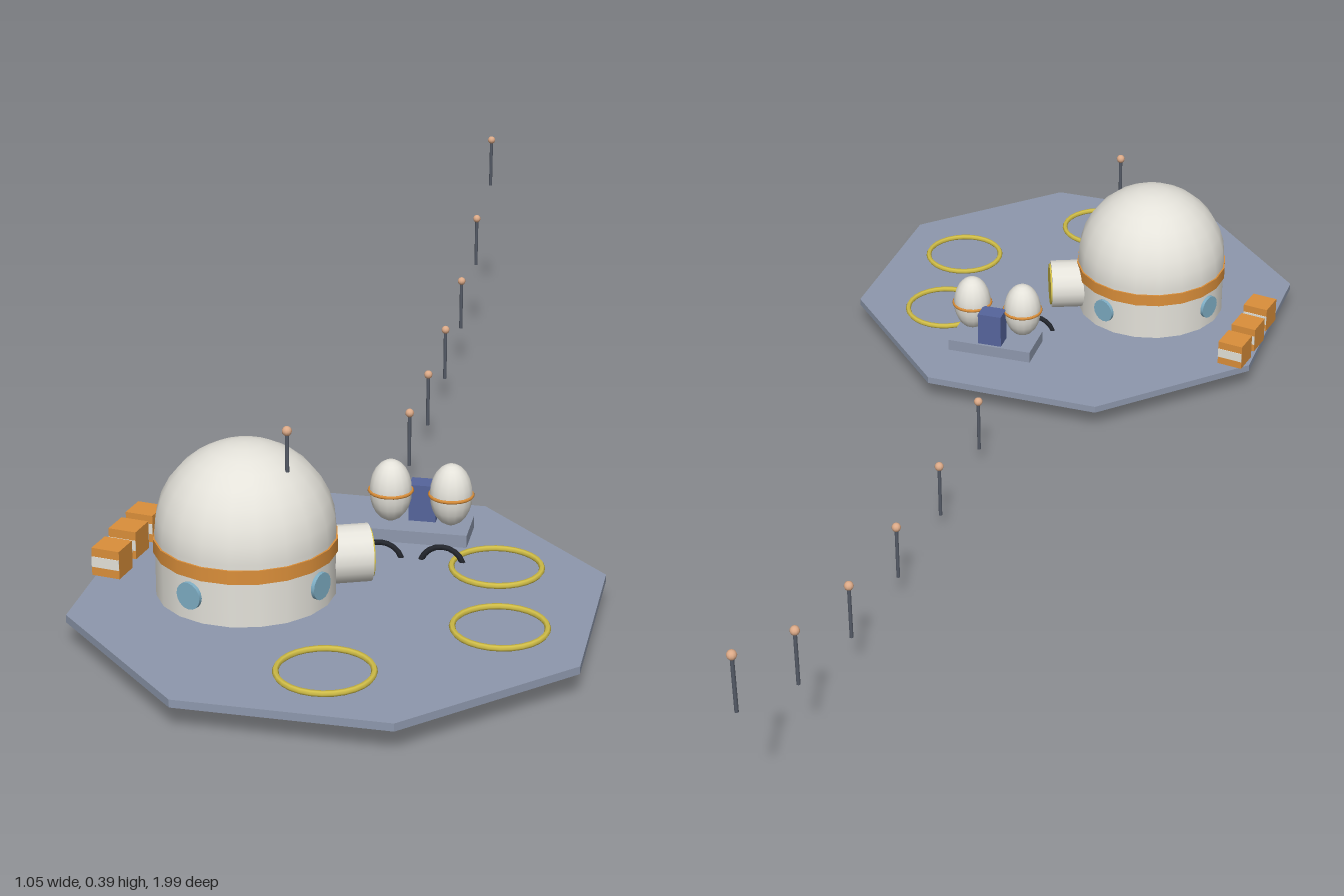
import * as THREE from 'three';

const paint = (name, color) => {
  const m = new THREE.MeshStandardMaterial({ color });
  m.name = name;
  return m;
};

export function createModel() {
  const mat = {
    ground: paint('slate blue', 0x8e98ad),
    white: paint('off white', 0xe4e2da),
    orange: paint('orange', 0xdb8f3a),
    yellow: paint('yellow', 0xd2bf48),
    glass: paint('window blue', 0x7fafc6),
    seat: paint('navy', 0x56659c),
    pole: paint('pole grey', 0x565c68),
    tyre: paint('tyre black', 0x23262d),
    lamp: paint('lamp peach', 0xdcaa88),
  };
  const model = new THREE.Group();
  model.name = 'outpost';

  const add = (parent, name, geometry, material, x = 0, y = 0, z = 0) => {
    const mesh = new THREE.Mesh(geometry, material);
    mesh.name = name;
    mesh.position.set(x, y, z);
    parent.add(mesh);
    return mesh;
  };
  const group = (name, x, y, z, turn = 0) => {
    const g = new THREE.Group();
    g.name = name;
    g.position.set(x, y, z);
    g.rotation.y = turn;
    model.add(g);
    return g;
  };

  // Octagonal landing platform
  const slab = new THREE.CylinderGeometry(0.437, 0.437, 0.013, 8).toNonIndexed();
  slab.computeVertexNormals();
  add(model, 'platform', slab, mat.ground, -0.09, 0.0465, 0.56);

  // Domed habitat
  const hab = group('habitat', -0.235, 0, 0.51);
  add(hab, 'habitatWall', new THREE.CylinderGeometry(0.145, 0.145, 0.105, 20), mat.white, 0, 0.1055, 0);
  add(hab, 'dome', new THREE.SphereGeometry(0.146, 20, 8, 0, Math.PI * 2, 0, Math.PI / 2), mat.white, 0, 0.158, 0);
  add(hab, 'habitatBand', new THREE.CylinderGeometry(0.148, 0.148, 0.023, 20), mat.orange, 0, 0.138, 0);

  // Round windows on the four diagonals
  for (let i = 0; i < 4; i++) {
    const a = Math.PI / 4 + i * Math.PI / 2;
    const w = add(hab, 'window', new THREE.CylinderGeometry(0.0225, 0.0225, 0.009, 16), mat.glass,
      Math.sin(a) * 0.145, 0.096, Math.cos(a) * 0.145);
    w.rotation.set(Math.PI / 2, 0, -a);
  }

  // Airlock with its round hatch
  const lock = add(hab, 'airlock', new THREE.CylinderGeometry(0.047, 0.047, 0.08, 16), mat.white, 0.16, 0.101, 0);
  lock.rotation.z = Math.PI / 2;
  const hatch = add(hab, 'hatch', new THREE.CylinderGeometry(0.041, 0.041, 0.004, 16), mat.yellow, 0.201, 0.101, 0);
  hatch.rotation.z = Math.PI / 2;

  // Slim mast with a lamp on top
  const mast = (name, x, bottom, top, z) => {
    const g = group(name, x, 0, z);
    add(g, 'pole', new THREE.CylinderGeometry(0.0035, 0.0035, top - bottom, 6), mat.pole, 0, (top + bottom) / 2, 0);
    add(g, 'lamp', new THREE.SphereGeometry(0.008, 10, 8), mat.lamp, 0, top, 0);
  };
  mast('antenna', -0.177, 0.275, 0.343, 0.572);

  // Trail of beacons climbing away behind the platform
  [0.143, 0.14, 0.157, 0.19, 0.261, 0.378].forEach((top, i) =>
    mast('beacon', 0.132 + i * 0.077, top - 0.102, top, 0.015 - i * 0.201));

  // Supply crates
  for (const [x, z] of [[-0.373, 0.272], [-0.407, 0.335], [-0.441, 0.409]]) {
    const crate = group('crate', x, 0.077, z, -0.54);
    add(crate, 'crateBox', new THREE.BoxGeometry(0.049, 0.048, 0.049), mat.orange);
    add(crate, 'crateStripe', new THREE.BoxGeometry(0.0488, 0.018, 0.051), mat.white);
  }

  // Ground marker rings
  for (const [x, z] of [[0.177, 0.508], [0.13, 0.726], [-0.161, 0.825]]) {
    const ring = add(model, 'markerRing', new THREE.TorusGeometry(0.074, 0.005, 6, 28), mat.yellow, x, 0.057, z);
    ring.rotation.x = Math.PI / 2;
  }

  // Rover: deck, seat, two tanks and wire wheels
  const rover = group('rover', 0.084, 0, 0.355, -0.37);
  add(rover, 'deck', new THREE.BoxGeometry(0.165, 0.022, 0.085), mat.ground, 0, 0.067, 0);
  add(rover, 'seat', new THREE.BoxGeometry(0.046, 0.065, 0.035), mat.seat, 0, 0.11, -0.02);
  for (const s of [-1, 1]) {
    const tank = add(rover, 'tank', new THREE.SphereGeometry(0.036, 16, 12), mat.white, s * 0.051, 0.138, 0.013);
    tank.scale.y = 1.5;
    const band = add(rover, 'tankBand', new THREE.TorusGeometry(0.036, 0.003, 6, 20), mat.orange, s * 0.051, 0.138, 0.013);
    band.rotation.x = Math.PI / 2;
    add(rover, 'wheel', new THREE.TorusGeometry(0.036, 0.005, 6, 20), mat.tyre, s * 0.051 - 0.002, 0.041, 0.093);
  }

  return model;
}
